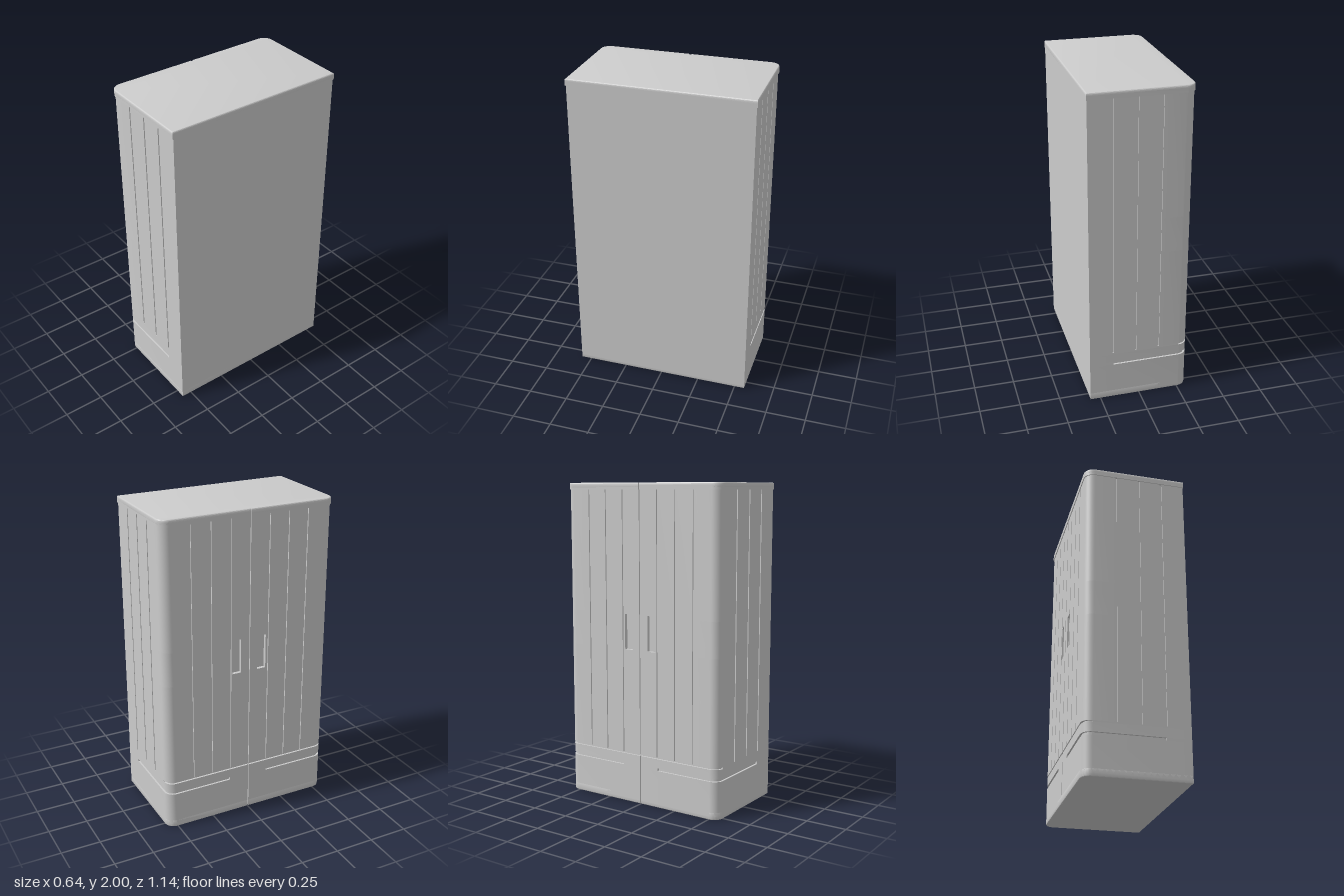
import * as THREE from 'three';
import { toCreasedNormals } from 'three/addons/utils/BufferGeometryUtils.js';

const material = new THREE.MeshStandardMaterial({ color: 0xcccccc });

// Half plan, from the middle of the door face (-x), round the corner, to the wall end.
// Returns the point at distance s along it, pushed inwards by depth.
function planPoint(s, depth, p) {
  const front = p.hz - p.r, arc = p.r * Math.PI / 2;
  if (s <= front) return [p.x0 + depth, s];
  if (s >= front + arc) return [p.x0 + p.r + s - front - arc, p.hz - depth];
  const a = (s - front) / p.r;
  return [p.x0 + p.r - (p.r - depth) * Math.cos(a), front + (p.r - depth) * Math.sin(a)];
}

// Distance along the plan of a position x on the side wall
const sideS = (x, p) => p.hz - p.r + p.r * Math.PI / 2 + x - p.x0 - p.r;

// Closed plan with rectangular cuts [start, end, depth], mirrored in z
function planShape(p, cuts) {
  const end = sideS(p.x1, p), front = p.hz - p.r;
  const stops = [0, end];
  for (let i = 0; i <= 10; i++) stops.push(front + p.r * Math.PI / 2 * i / 10);
  for (const [a, b] of cuts) stops.push(a, b);
  stops.sort((a, b) => a - b);
  const depthAt = s => Math.max(0, ...cuts.filter(c => s > c[0] && s < c[1]).map(c => c[2]));
  const half = [];
  const add = pt => {
    const q = half[half.length - 1];
    if (!q || Math.hypot(q[0] - pt[0], q[1] - pt[1]) > 1e-6) half.push(pt);
  };
  for (const s of stops) {
    if (s > 0) add(planPoint(s, depthAt(s - 1e-5), p));
    if (s < end) add(planPoint(s, depthAt(s + 1e-5), p));
  }
  const mirrored = half.slice(1).reverse().map(([x, z]) => [x, -z]);
  return new THREE.Shape([...half, ...mirrored].map(([x, z]) => new THREE.Vector2(x, z)));
}

// Horizontal slab of the plan between two heights, with optional edge rounding
function slab(name, y0, y1, p, cuts, bevel = 0) {
  let geo = new THREE.ExtrudeGeometry(planShape(p, cuts), {
    depth: y1 - y0 - 2 * bevel, bevelEnabled: bevel > 0, bevelSize: bevel,
    bevelThickness: bevel, bevelOffset: -bevel, bevelSegments: 3,
  });
  geo.rotateX(-Math.PI / 2);
  geo.translate(0, y0 + bevel, 0);
  geo = toCreasedNormals(geo, 0.6);
  const mesh = new THREE.Mesh(geo, material);
  mesh.name = name;
  return mesh;
}

export function createModel() {
  const model = new THREE.Group();
  model.name = 'cabinet';

  const body = { x0: -0.315, x1: 0.315, hz: 0.565, r: 0.06 };
  const top = { x0: -0.32, x1: 0.318, hz: 0.57, r: 0.062 };

  // Cuts in the plan
  const centreGap = [0, 0.005, 0.008];
  const groove = s => [s - 0.005, s + 0.005, 0.008];
  const grooves = [
    ...[0.128, 0.257, 0.386].map(groove),
    ...[-0.122, 0.024, 0.168].map(x => groove(sideS(x, body))),
  ];
  const drawerSlot = [0.13, sideS(0.165, body), 0.012];
  const doorGap = [0, sideS(-0.27 + 0.015, body), 0.012];
  const handlePocket = [0.056, 0.114, 0.022];

  // Drawer base
  const base = new THREE.Group();
  base.name = 'drawerBase';
  base.add(
    slab('bottomEdge', 0, 0.05, body, [centreGap], 0.005),
    slab('lowerDrawer', 0.02, 0.237, body, [centreGap]),
    slab('drawerGripSlot', 0.237, 0.255, body, [centreGap, drawerSlot]),
    slab('upperDrawer', 0.255, 0.312, body, [centreGap]),
    slab('doorGap', 0.312, 0.322, body, [doorGap]),
  );

  // Grooved doors and walls, with recessed handles
  const doors = new THREE.Group();
  doors.name = 'doors';
  doors.add(
    slab('lowerDoors', 0.322, 0.98, body, [centreGap, ...grooves]),
    slab('handleRecesses', 0.98, 1.2, body, [centreGap, handlePocket, ...grooves]),
    slab('upperDoors', 1.2, 1.96, body, [centreGap, ...grooves]),
  );

  // Overhanging top with a softened upper edge
  const lid = new THREE.Group();
  lid.name = 'lid';
  lid.add(
    slab('lidRim', 1.958, 1.985, top, [centreGap]),
    slab('lidTop', 1.965, 2, top, [centreGap], 0.007),
  );

  model.add(base, doors, lid);
  return model;
}
